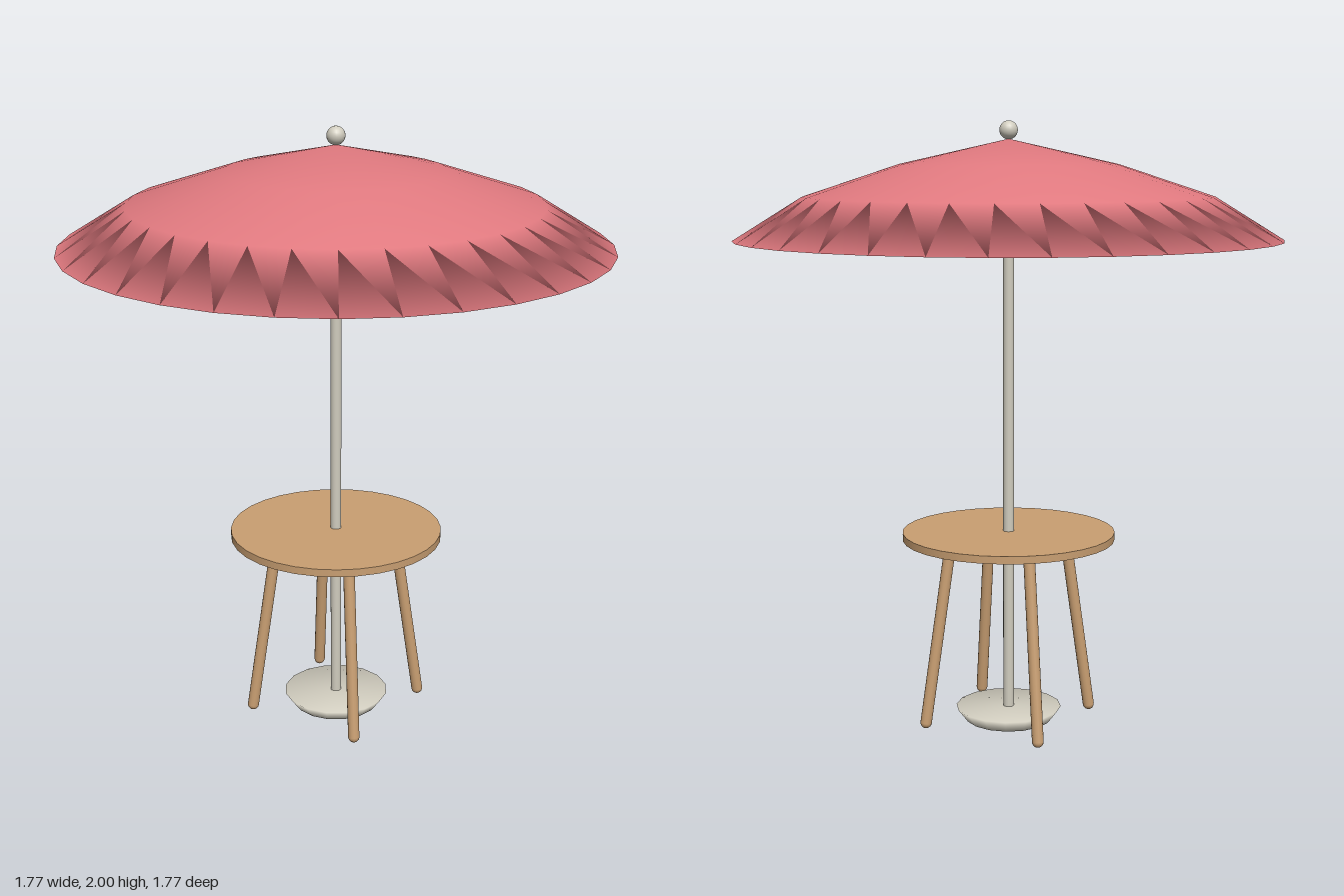
import * as THREE from 'three';
import { mergeVertices } from 'three/addons/utils/BufferGeometryUtils.js';

// Closed turned solid, smoothed across all of its edges
function turned(profile, segments) {
  const raw = new THREE.LatheGeometry(profile.map(([r, y]) => new THREE.Vector2(r, y)), segments);
  raw.deleteAttribute('normal');
  raw.deleteAttribute('uv');
  const geometry = mergeVertices(raw, 1e-4);
  geometry.computeVertexNormals();
  return geometry;
}

export function createModel() {
  const group = new THREE.Group();
  const material = (name, color) => new THREE.MeshStandardMaterial({ name, color });
  const fabric = material('rose fabric', 0xe0797f);
  const wood = material('light wood', 0xc99f72);
  const metal = material('pale metal', 0xd0ccbe);

  const add = (name, geometry, mat, y = 0) => {
    const mesh = new THREE.Mesh(geometry, mat);
    mesh.name = name;
    mesh.position.y = y;
    group.add(mesh);
    return mesh;
  };

  // Parasol: canopy with a flat underside, finial, pole and weighted base
  add('canopy', turned([[0, 1.622], [0.885, 1.622], [0.662, 1.76], [0.354, 1.862], [0, 1.942]], 32), fabric);
  add('finial', new THREE.SphereGeometry(0.03, 20, 14), metal, 1.97);
  add('pole', new THREE.CylinderGeometry(0.018, 0.018, 1.93, 16), metal, 0.968);
  add('base', turned([[0, 0.006], [0.145, 0.006], [0.177, 0.048], [0, 0.048]], 16), metal);

  // Round table top
  add('tableTop', new THREE.CylinderGeometry(0.353, 0.353, 0.025, 32), wood, 0.643);

  // Four splayed legs with rounded ends
  const up = new THREE.Vector3(0, 1, 0);
  for (const sx of [-1, 1]) {
    for (const sz of [-1, 1]) {
      const foot = new THREE.Vector3(0.206 * sx, 0.02, 0.206 * sz);
      const head = new THREE.Vector3(0.143 * sx, 0.625, 0.143 * sz);
      const along = head.clone().sub(foot);
      const leg = add('tableLeg', new THREE.CapsuleGeometry(0.019, along.length(), 5, 14), wood);
      leg.position.copy(foot).add(head).multiplyScalar(0.5);
      leg.quaternion.setFromUnitVectors(up, along.normalize());
    }
  }
  return group;
}
